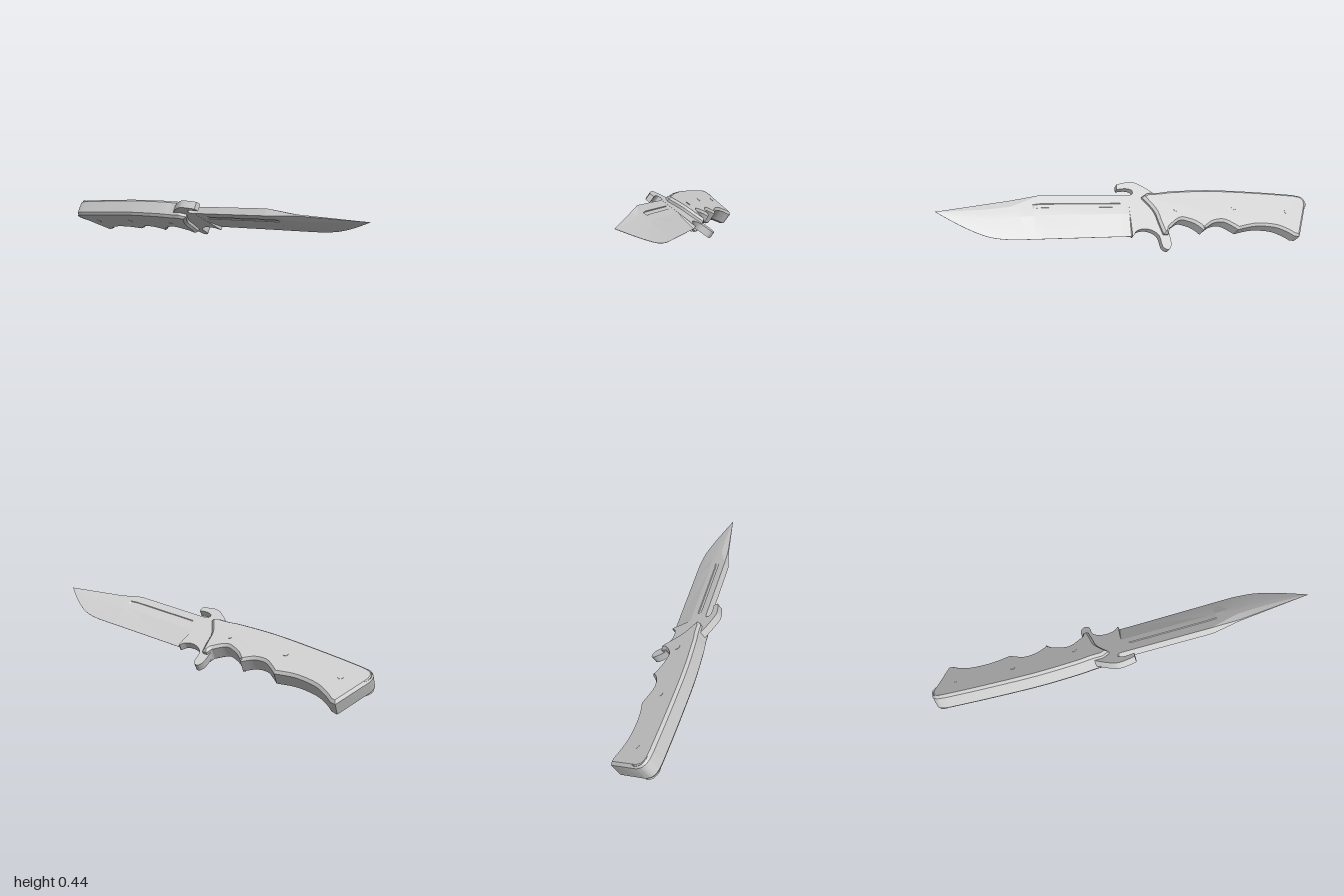
import * as THREE from 'three';
import { toCreasedNormals } from 'three/addons/utils/BufferGeometryUtils.js';

const material = new THREE.MeshStandardMaterial({ color: 0xcccccc, side: THREE.DoubleSide });
const V = pts => pts.map(([x, y]) => new THREE.Vector2(x, y));

// Closed shape from runs: each run is a smooth curve, or straight lines when it has one point
function outline(start, runs) {
  const s = new THREE.Shape();
  s.moveTo(...start);
  for (const run of runs) run.length > 1 ? s.splineThru(V(run)) : s.lineTo(...run[0]);
  return s;
}

// Slab centred on the knife's middle plane
function slab(shape, thickness, bevel, name) {
  const geo = new THREE.ExtrudeGeometry(shape, {
    depth: thickness - 2 * bevel, curveSegments: 7, bevelEnabled: bevel > 0,
    bevelSize: bevel, bevelThickness: bevel, bevelOffset: -bevel, bevelSegments: 1,
  });
  geo.translate(0, 0, -(thickness - 2 * bevel) / 2);
  const mesh = new THREE.Mesh(toCreasedNormals(geo, 0.45), material);
  mesh.name = name;
  return mesh;
}

// Grip with finger grooves and a lanyard hole
function makeHandle() {
  const shape = outline([-0.935, -0.15], [
    [[-0.905, -0.146]],
    [[-0.86, -0.118], [-0.79, -0.092], [-0.68, -0.085], [-0.575, -0.104]],
    [[-0.535, -0.078], [-0.49, -0.058], [-0.43, -0.066], [-0.374, -0.104]],
    [[-0.34, -0.074], [-0.298, -0.054], [-0.245, -0.046], [-0.183, -0.09]],
    [[-0.172, -0.122]],
    [[-0.145, -0.122]],
    [[-0.128, -0.06], [-0.108, 0.01], [-0.05, 0.088]],
    [[-0.085, 0.11]],
    [[-0.15, 0.113], [-0.23, 0.122], [-0.446, 0.129], [-0.72, 0.117], [-0.94, 0.101]],
    [[-0.985, 0.09], [-1.008, 0.065], [-1.008, 0.03]],
  ]);
  const hole = new THREE.Path();
  hole.absarc(-0.965, 0.045, 0.03, 0, Math.PI * 2, true);
  shape.holes.push(hole);
  return slab(shape, 0.094, 0.013, 'handle');
}

// Tang front: finger guard, thumb hook and ricasso
function makeGuard() {
  const shape = outline([0.02, 0.105], [
    [[-0.004, 0.112], [-0.004, 0.134], [0.03, 0.143], [0.077, 0.138]],
    [[0.076, 0.166]],
    [[0.03, 0.178], [-0.02, 0.18], [-0.075, 0.152], [-0.13, 0.112]],
    [[-0.3, 0.05]],
    [[-0.25, -0.03]],
    [[-0.178, -0.088]],
    [[-0.186, -0.165], [-0.176, -0.196], [-0.16, -0.203], [-0.14, -0.192], [-0.132, -0.17]],
    [[-0.122, -0.122], [-0.085, -0.094], [-0.042, -0.087], [-0.005, -0.098], [0.014, -0.122]],
    [[0.02, -0.122]],
  ]);
  return slab(shape, 0.039, 0, 'guard');
}

// Blade lofted from cross-sections: clipped spine, fullers, ground edge
function makeBlade() {
  const ramp = (x, a, b) => THREE.MathUtils.clamp((x - a) / (b - a), 0, 1);
  const belly = new THREE.SplineCurve(V([[0.64, -0.13], [0.72, -0.121], [0.79, -0.1],
    [0.895, -0.047], [1.007, 0.024]])).getPoints(12);
  const edge = [[0.015, -0.122], [0.022, -0.122], [0.06, -0.122], [0.07, -0.122],
    [0.485, -0.128], [0.52, -0.129], [0.53, -0.129], [0.6, -0.13], ...belly.map(p => [p.x, p.y])];

  const rings = edge.map(([a, be]) => {
    const bs = a < 0.485 ? 0.105 : THREE.MathUtils.lerp(0.105, 0.024, ramp(a, 0.485, 1.007));
    const h = 0.019 - 0.018 * ramp(a, 0.55, 1.007);
    const swedge = ramp(a, 0.485, 0.64);
    const groove = Math.min(ramp(a, 0.06, 0.07), 1 - ramp(a, 0.52, 0.53)) * 0.004;
    const half = [
      [1, h * (1 - 0.75 * swedge)], [1 - 0.18 * swedge, h],
      [0.8, h], [0.79, h - groove], [0.71, h - groove], [0.7, h],
      [0.53, h], [0, a < 0.02 ? h : 0.0008],
    ];
    const side = s => half.map(([f, t]) => [a, be + (bs - be) * f, s * t]);
    return [...side(1), ...side(-1).reverse()];
  });

  const pos = [];
  for (let i = 0; i < rings.length - 1; i++) {
    const n = rings[i].length;
    for (let j = 0; j < n; j++) {
      const k = (j + 1) % n;
      const [p, q, r, s] = [rings[i][j], rings[i][k], rings[i + 1][k], rings[i + 1][j]];
      pos.push(...p, ...q, ...r, ...p, ...r, ...s);
    }
  }
  const geo = new THREE.BufferGeometry();
  geo.setAttribute('position', new THREE.Float32BufferAttribute(pos, 3));
  geo.computeVertexNormals();
  const mesh = new THREE.Mesh(toCreasedNormals(geo, 0.15), material);
  mesh.name = 'blade';
  return mesh;
}

export function createModel() {
  const knife = new THREE.Group();
  knife.name = 'knife';
  knife.add(makeHandle(), makeGuard(), makeBlade());

  // Pins through the grip
  for (const [a, b] of [[-0.88, -0.004], [-0.563, 0.021], [-0.228, 0.014]]) {
    const pin = new THREE.Mesh(new THREE.CylinderGeometry(0.014, 0.014, 0.097, 16), material);
    pin.rotation.x = Math.PI / 2;
    pin.position.set(a, b, 0);
    pin.name = 'pin';
    knife.add(pin);
  }

  // Lay the knife along x, tip raised, spine tilted up and forward
  const along = new THREE.Vector3(0.987, 0.162, -0.016).normalize();
  const normal = new THREE.Vector3(0.142, -0.815, 0.56);
  normal.addScaledVector(along, -normal.dot(along)).normalize();
  const spine = new THREE.Vector3().crossVectors(normal, along);
  knife.applyMatrix4(new THREE.Matrix4().makeBasis(along, spine, normal).setPosition(0, 0.272, 0));

  const model = new THREE.Group();
  model.add(knife);
  return model;
}
